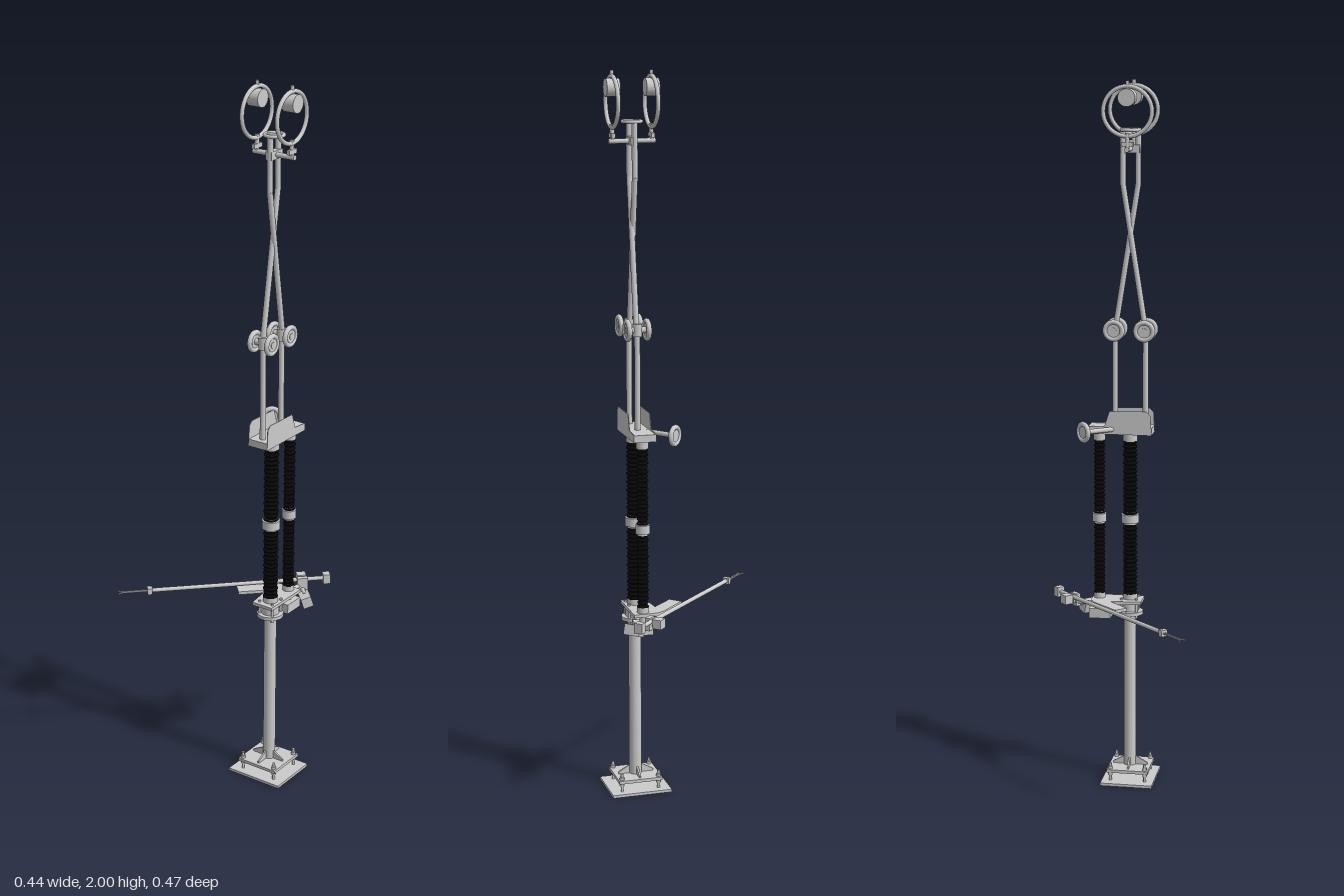
import * as THREE from 'three';

const CX = -0.008, CZ = 0.15;
const grey = new THREE.MeshStandardMaterial({ color: 0xcccccc });
const black = new THREE.MeshStandardMaterial({ color: 0x080808 });
const V = (x, y, z) => new THREE.Vector3(x, y, z);

export function createModel() {
  const root = new THREE.Group();

  function add(name, geo, x, y, z, parent = root, mat = grey) {
    const m = new THREE.Mesh(geo, mat);
    m.name = name;
    m.position.set(x, y, z);
    parent.add(m);
    return m;
  }
  const box = (name, w, h, d, x, y, z, p) => add(name, new THREE.BoxGeometry(w, h, d), x, y, z, p);
  // upright cylinder from y0 to y1
  const post = (name, r, y0, y1, x, z, p, seg = 24) =>
    add(name, new THREE.CylinderGeometry(r, r, y1 - y0, seg), x, (y0 + y1) / 2, z, p);
  // cylinder between two points
  function beam(name, a, b, r, p, seg = 16) {
    const m = add(name, new THREE.CylinderGeometry(r, r, a.distanceTo(b), seg), 0, 0, 0, p);
    m.position.copy(a).lerp(b, 0.5);
    m.quaternion.setFromUnitVectors(V(0, 1, 0), b.clone().sub(a).normalize());
    return m;
  }
  const ring = (name, R, r, x, y, z, p) => add(name, new THREE.TorusGeometry(R, r, 10, 40), x, y, z, p);
  function group(name, x = 0, y = 0, z = 0) {
    const g = new THREE.Group();
    g.name = name;
    g.position.set(x, y, z);
    root.add(g);
    return g;
  }

  // Foot: ground plate, raised plate on anchor bolts, gussets
  const foot = group('foot', CX - 0.002, 0, CZ - 0.001);
  box('groundPlate', 0.15, 0.008, 0.17, 0, 0.004, 0, foot);
  box('raisedPlate', 0.12, 0.009, 0.125, 0, 0.037, 0, foot);
  for (const sx of [-1, 1]) for (const sz of [-1, 1]) {
    post('anchorBolt', 0.004, 0.004, 0.06, sx * 0.05, sz * 0.053, foot, 10);
    for (const y of [0.028, 0.046]) post('anchorNut', 0.007, y - 0.004, y + 0.004, sx * 0.05, sz * 0.053, foot, 6);
  }
  const gussetShape = new THREE.Shape([[0, 0], [0.05, 0], [0.05, 0.006], [0.017, 0.024], [0, 0.024]]
    .map(p => new THREE.Vector2(...p)));
  const gussetGeo = new THREE.ExtrudeGeometry(gussetShape, { depth: 0.005, bevelEnabled: false }).translate(0, 0, -0.0025);
  for (let i = 0; i < 4; i++) add('gusset', gussetGeo, 0, 0.0415, 0, foot).rotation.y = i * Math.PI / 2;

  // Column and its top flange
  post('column', 0.0175, 0.04, 0.5, CX, CZ);
  post('columnFlange', 0.037, 0.495, 0.505, CX, CZ);
  post('columnNeck', 0.025, 0.505, 0.532, CX, CZ);
  for (let i = 0; i < 4; i++) {
    const a = Math.PI / 4 + i * Math.PI / 2;
    post('flangeBolt', 0.004, 0.487, 0.545, CX + 0.03 * Math.cos(a), CZ + 0.03 * Math.sin(a), root, 8);
  }

  // Support plate with a slanting arm to the back
  const plate = new THREE.Shape([[0.012, 0.02], [0.086, 0.092], [0.096, 0.108], [0.1, 0.13], [0.1, 0.18],
    [-0.045, 0.18], [-0.045, 0.115], [0.04, 0.104], [-0.016, 0.047]].map(([x, z]) => new THREE.Vector2(x, -z)));
  add('supportPlate', new THREE.ExtrudeGeometry(plate, { depth: 0.009, bevelEnabled: false }), 0, 0.531, 0)
    .rotation.x = -Math.PI / 2;

  // Insulators: two ribbed sections joined by a coupling
  function insulator(name, x, r) {
    const g = group(name, x, 0, CZ);
    const sheds = 18;
    for (const [y0, y1] of [[0.552, 0.765], [0.787, 1.003]]) {
      const core = r * 0.75, step = (y1 - y0) / sheds, pts = [new THREE.Vector2(0, y0)];
      for (let i = 0; i < sheds; i++) {
        const R = i % 2 ? r * 0.92 : r, y = y0 + i * step;
        pts.push(new THREE.Vector2(core, y), new THREE.Vector2(R, y + step * 0.25),
          new THREE.Vector2(R, y + step * 0.45), new THREE.Vector2(core, y + step * 0.9));
      }
      pts.push(new THREE.Vector2(core, y1), new THREE.Vector2(0, y1));
      add('ribbedSection', new THREE.LatheGeometry(pts, 24), 0, 0, 0, g, black);
    }
    post('bottomCap', r, 0.538, 0.556, 0, 0, g);
    post('coupling', r * 0.9, 0.757, 0.795, 0, 0, g);
    post('couplingFlange', r * 1.2, 0.764, 0.788, 0, 0, g);
    post('topCap', r, 1.0, 1.028, 0, 0, g);
  }
  insulator('mainInsulator', CX, 0.021);
  insulator('driveInsulator', 0.08, 0.0165);

  // Head: open-ended channel with notched side walls
  const wall = new THREE.Shape([[-0.073, 1.022], [0.108, 1.022], [0.108, 1.043], [0.06, 1.046], [0.046, 1.088],
    [-0.058, 1.09], [-0.07, 1.078]].map(p => new THREE.Vector2(...p)));
  const wallGeo = new THREE.ExtrudeGeometry(wall, { depth: 0.002, bevelEnabled: false });
  for (const z of [0.118, 0.178]) add('headWall', wallGeo, 0, 0, z);
  box('headFloor', 0.181, 0.02, 0.06, 0.0175, 1.032, 0.149);

  // Terminal: arm with a round shield
  beam('terminalArm', V(0.035, 1.036, 0.125), V(0.106, 1.036, 0.069), 0.007);
  const shield = group('terminalShield', 0.11, 1.036, 0.067);
  shield.rotation.y = Math.PI * 0.75;
  ring('shieldRing', 0.023, 0.007, 0, 0, 0, shield);
  beam('shieldDisc', V(0, 0, -0.003), V(0, 0, 0.003), 0.023, shield, 32);

  // Scissor arms: lower post, elbow, crossing upper arm
  for (const s of [-1, 1]) {
    const x = CX + s * 0.043;
    const arm = group(s < 0 ? 'rightArm' : 'leftArm');
    post('lowerArm', 0.008, 1.03, 1.315, x, CZ, arm);
    beam('elbowPin', V(x, 1.315, CZ - 0.032), V(x, 1.315, CZ + 0.032), 0.009, arm);
    post('elbowHub', 0.013, 1.298, 1.332, x, CZ, arm);
    for (const dz of [-0.027, 0.027]) {
      ring('elbowRing', 0.024, 0.007, x, 1.315, CZ + dz, arm);
      beam('elbowDisc', V(x, 1.315, CZ + dz - 0.004), V(x, 1.315, CZ + dz + 0.004), 0.018, arm, 24);
    }
    const z = CZ + s * 0.002, top = CX - s * 0.021;
    beam('upperArm', V(x, 1.315, z), V(top, 1.72, z), 0.008, arm);
    add('armBend', new THREE.SphereGeometry(0.008, 12, 8), top, 1.72, z, arm);
    post('armTip', 0.008, 1.72, 1.865, top, z, arm);
  }

  // Contact head: cross piece, flat ring, two upright rings with contacts
  box('crossPiece', 0.052, 0.022, 0.018, CX, 1.815, CZ);
  beam('crossBar', V(CX, 1.815, CZ - 0.064), V(CX, 1.815, CZ + 0.064), 0.007);
  ring('flatRing', 0.025, 0.005, CX, 1.866, CZ).rotation.x = Math.PI / 2;
  beam('flatRingBar', V(CX, 1.866, CZ - 0.024), V(CX, 1.866, CZ + 0.024), 0.004);
  for (const s of [-1, 1]) {
    const z = CZ + s * 0.054;
    box('ringClamp', 0.034, 0.012, 0.01, CX, 1.83, z);
    post('clampPost', 0.006, 1.81, 1.86, CX, z);
    ring('contactRing', 0.067, 0.006, CX, 1.918, z);
    beam('contact', V(CX, 1.955, z - 0.018), V(CX, 1.955, z + 0.018), 0.024, root, 28);
    post('contactHanger', 0.005, 1.97, 2.0, CX, z);
  }

  // Earthing rod, lying level and slanting across the plan
  const rod = group('earthingRod', 0.0065, 0.538, -0.0065);
  rod.rotation.y = -Math.PI / 4;
  beam('rod', V(-0.228, 0, 0), V(0.288, 0, 0), 0.006, rod);
  box('rodCollar', 0.014, 0.018, 0.02, -0.223, 0, 0, rod);
  for (const s of [-1, 1]) {
    beam('forkProng', V(-0.224, 0, s * 0.003), V(-0.302, 0, s * 0.003), 0.0022, rod, 8);
    beam('forkTip', V(-0.302, 0, s * 0.003), V(-0.312, 0, s * 0.01), 0.0022, rod, 8);
  }
  box('rodEndBlock', 0.02, 0.028, 0.024, 0.284, 0, 0, rod);
  box('pivotBlock', 0.026, 0.026, 0.026, 0.215, -0.004, -0.02, rod);
  box('pivotCheek', 0.03, 0.036, 0.014, 0.213, -0.008, 0.009, rod);

  // Drive: housing below the drive insulator, tilted box and linking shafts
  post('driveSpindle', 0.009, 0.49, 0.535, 0.08, CZ);
  box('driveHousing', 0.062, 0.028, 0.045, 0.077, 0.496, CZ);
  box('driveBox', 0.03, 0.03, 0.048, 0.214, -0.035, 0.057, rod).rotation.z = 0.3;
  beam('driveShaft', V(0.213, -0.024, 0.005), V(0.213, -0.024, 0.05), 0.006, rod);
  beam('pivotArm', V(0.09, 0.524, 0.14), V(0.155, 0.524, 0.145), 0.006);
  return root;
}
